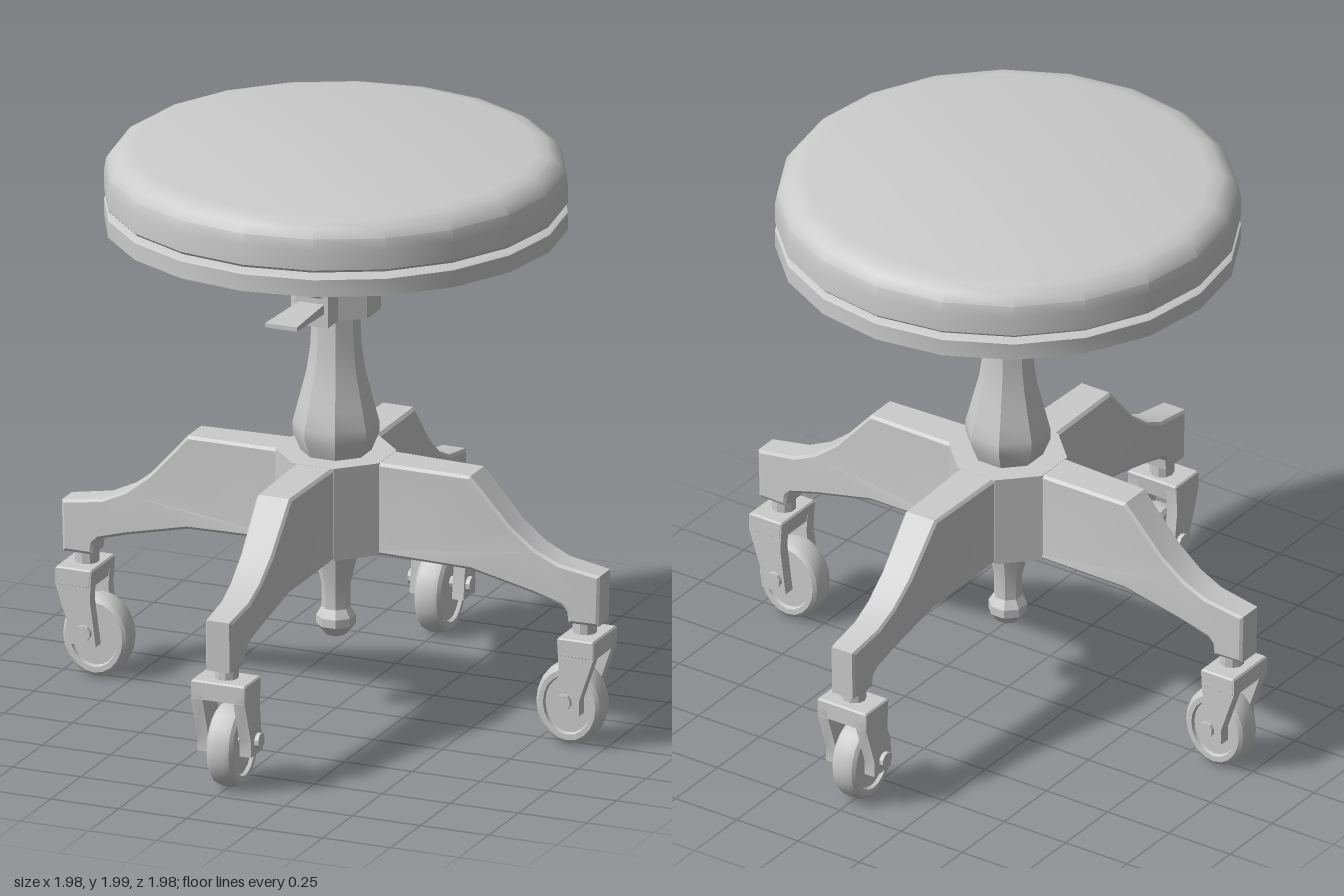
import * as THREE from 'three';
import { toCreasedNormals } from 'three/addons/utils/BufferGeometryUtils.js';

const material = new THREE.MeshStandardMaterial({ color: 0xcccccc });

function part(name, geometry, parent) {
  const mesh = new THREE.Mesh(toCreasedNormals(geometry, 0.5), material);
  mesh.name = name;
  parent.add(mesh);
  return mesh;
}

// Profile runs from bottom to top as [radius, height]
function lathe(profile, sides, turn = 0) {
  return new THREE.LatheGeometry(profile.map(([r, y]) => new THREE.Vector2(r, y)), sides, turn);
}

// Eight-sided turning with a flat facing each axis; radii are measured to the flats
function octagonal(profile) {
  const k = 1 / Math.cos(Math.PI / 8);
  return lathe(profile.map(([r, y]) => [r * k, y]), 8, Math.PI / 8);
}

// Outline in x,y extruded to a total depth centred on z = 0
function slab(outline, depth, bevel = 0) {
  const shape = new THREE.Shape(outline.map(([x, y]) => new THREE.Vector2(x, y)));
  const geometry = new THREE.ExtrudeGeometry(shape, {
    depth: depth - 2 * bevel, bevelEnabled: bevel > 0, bevelSize: bevel,
    bevelThickness: bevel, bevelOffset: -bevel, bevelSegments: 1,
  });
  return geometry.translate(0, 0, -depth / 2 + bevel);
}

// Flat plate lying in x,z between two heights
function plate(outline, y0, y1, bevel = 0) {
  return slab(outline, y1 - y0, bevel).rotateX(-Math.PI / 2).translate(0, (y0 + y1) / 2, 0);
}

// Repeats a corner list of the (+,+) quadrant into a closed symmetric outline
function symmetric(corner) {
  const back = [...corner].reverse();
  return [
    ...corner, ...back.map(([x, y]) => [-x, y]),
    ...corner.map(([x, y]) => [-x, -y]), ...back.map(([x, y]) => [x, -y]),
  ];
}

function addSeat(group) {
  part('seat', lathe([
    [0, 1.78], [0.55, 1.78], [0.66, 1.72], [0.7, 1.72], [0.785, 1.738], [0.785, 1.798],
    [0.775, 1.803], [0.7, 1.81], [0.775, 1.822], [0.785, 1.832], [0.785, 1.9],
    [0.778, 1.94], [0.757, 1.97], [0.725, 1.99], [0.68, 1.999], [0, 2],
  ], 20), group);
}

function addColumn(group) {
  part('upperColumn', octagonal([[0.09, 1.5], [0.09, 1.79]]), group);
  part('column', octagonal([
    [0, 0.9], [0.108, 0.92], [0.135, 0.99], [0.135, 1.03], [0.118, 1.1],
    [0.092, 1.21], [0.08, 1.3], [0.074, 1.45], [0, 1.45],
  ]), group);
  // Lower end of the spindle, hanging under the hub
  part('spindleEnd', octagonal([
    [0, 0.26], [0.035, 0.275], [0.062, 0.31], [0.062, 0.34], [0.045, 0.37],
    [0.045, 0.45], [0.08, 0.61],
  ]), group);
}

function addMechanism(group) {
  const mechanism = new THREE.Group();
  mechanism.name = 'heightMechanism';
  group.add(mechanism);
  part('housing', plate(symmetric([[0.14, 0.06], [0.06, 0.12], [0.06, 0.205]]), 1.43, 1.545), mechanism);
  part('flange', plate(symmetric([[0.16, 0.05], [0.055, 0.17], [0.055, 0.24]]), 1.543, 1.583, 0.008), mechanism);
  for (const s of [-1, 1]) {
    part('largeBolt', lathe([[0.025, 1.57], [0.025, 1.602], [0.042, 1.602], [0.042, 1.622], [0.036, 1.627], [0, 1.627]], 8), mechanism)
      .position.z = s * 0.18;
    part('smallBolt', lathe([[0.022, 1.57], [0.022, 1.597], [0, 1.597]], 8), mechanism)
      .position.x = s * 0.135;
  }
  // Lever widens and thins toward its tip
  const lever = new THREE.BoxGeometry(0.09, 0.036, 0.28).translate(0, 1.495, 0.32);
  const p = lever.attributes.position;
  for (let i = 0; i < p.count; i++) {
    if (p.getZ(i) < 0.4) continue;
    p.setX(i, p.getX(i) * 1.3);
    p.setY(i, p.getY(i) > 1.495 ? 1.514 : 1.499);
  }
  part('lever', lever, mechanism);
}

function legGeometry() {
  const geometry = slab([
    [0.1, 0.6], [0.19, 0.6], [0.52, 0.59], [0.75, 0.535], [0.85, 0.505], [0.87, 0.485],
    [0.875, 0.445], [0.985, 0.445], [0.99, 0.625], [0.84, 0.65], [0.755, 0.69],
    [0.665, 0.76], [0.52, 0.922], [0.1, 0.927],
  ], 0.15, 0.01);
  // Taper the width toward the caster
  const p = geometry.attributes.position;
  for (let i = 0; i < p.count; i++) {
    const t = THREE.MathUtils.clamp((p.getX(i) - 0.19) / 0.8, 0, 1);
    p.setZ(i, p.getZ(i) * (1 - 0.36 * t));
  }
  return geometry;
}

function addCaster(leg) {
  const caster = new THREE.Group();
  caster.name = 'caster';
  leg.add(caster);
  part('stem', lathe([[0.042, 0.395], [0.042, 0.45]], 10), caster).position.x = 0.915;
  part('forkCrown', slab([[0.862, 0.34], [0.99, 0.34], [0.99, 0.4], [0.985, 0.406], [0.86, 0.406], [0.855, 0.4]], 0.2, 0.005), caster);
  const cheek = [[0.84, 0.137], [0.937, 0.137], [0.937, 0.19], [0.99, 0.345], [0.99, 0.4], [0.856, 0.4], [0.862, 0.3]];
  for (const s of [-1, 1]) {
    part('forkCheek', slab(cheek, 0.042), caster).position.z = s * 0.078;
    const cap = new THREE.CylinderGeometry(0.028, 0.028, 0.016, 10).rotateX(Math.PI / 2);
    part('axleCap', cap, caster).position.set(0.883, 0.183, s * 0.106);
  }
  part('axle', new THREE.CylinderGeometry(0.02, 0.02, 0.16, 8).rotateX(Math.PI / 2), caster)
    .position.set(0.883, 0.183, 0);
  // Wheel with rounded tread and slightly recessed sides
  const wheel = lathe([
    [0, -0.036], [0.1, -0.036], [0.105, -0.048], [0.125, -0.048], [0.139, -0.038], [0.145, -0.02],
    [0.145, 0.02], [0.139, 0.038], [0.125, 0.048], [0.105, 0.048], [0.1, 0.036], [0, 0.036],
  ], 20).rotateX(Math.PI / 2).scale(0.84, 1, 1);
  part('wheel', wheel, caster).position.set(0.87, 0.152, 0);
}

function addBase(group) {
  part('hub', plate(symmetric([[0.19, 0.075], [0.075, 0.19]]), 0.6, 0.927), group);
  for (let i = 0; i < 4; i++) {
    const leg = new THREE.Group();
    leg.name = 'legAssembly';
    leg.rotation.y = i * Math.PI / 2;
    part('leg', legGeometry(), leg);
    addCaster(leg);
    group.add(leg);
  }
}

export function createModel() {
  const group = new THREE.Group();
  group.name = 'swivelStool';
  addSeat(group);
  addColumn(group);
  addMechanism(group);
  addBase(group);
  return group;
}
